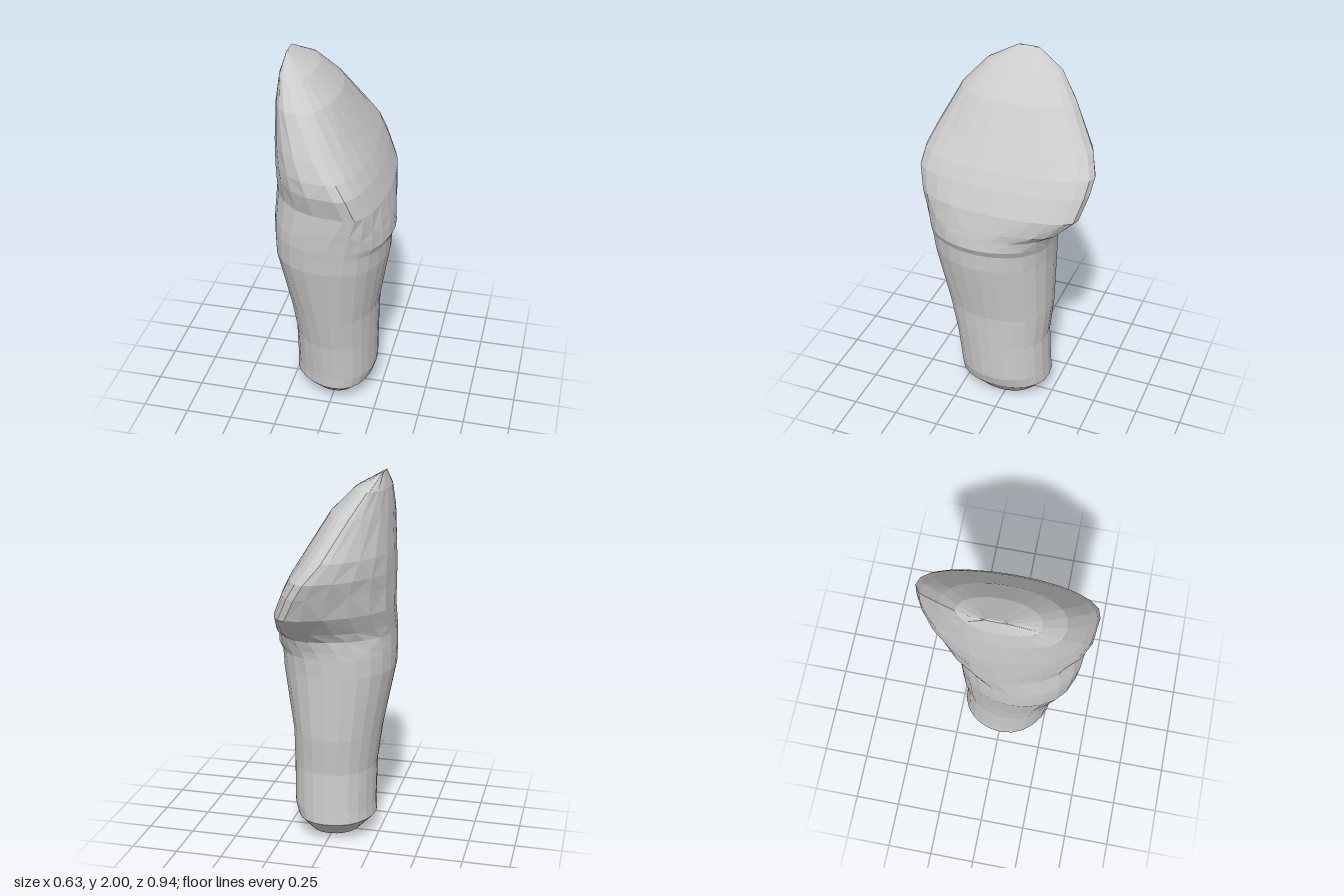
import * as THREE from 'three';

// Cross-sections: [y, left x, right x, front z, back z, x of front edge, x of back edge]
const SECTIONS = [
  [0.00, -0.08, 0.08, 0.07, -0.07, 0, 0],
  [0.03, -0.15, 0.13, 0.18, -0.15, 0, 0],
  [0.115, -0.23, 0.20, 0.27, -0.23, 0.02, 0],
  [0.18, -0.225, 0.22, 0.275, -0.225, 0.02, 0],
  [0.40, -0.225, 0.225, 0.30, -0.215, 0.02, 0],
  [0.60, -0.25, 0.23, 0.34, -0.235, 0.02, 0],
  [0.95, -0.313, 0.29, 0.41, -0.24, 0.02, 0],
  [1.05, -0.315, 0.295, 0.42, -0.245, 0.03, 0.02],
  [1.09, -0.315, 0.315, 0.425, -0.25, 0.03, 0.04],
  [1.15, -0.315, 0.308, 0.43, -0.265, 0.05, 0.08],
  [1.20, -0.315, 0.30, 0.435, -0.32, 0.07, 0.16],
  [1.30, -0.315, 0.28, 0.44, -0.42, 0.12, 0.16],
  [1.42, -0.315, 0.23, 0.47, -0.455, 0.08, 0.10],
  [1.50, -0.315, 0.19, 0.46, -0.465, 0.03, 0.05],
  [1.60, -0.313, 0.13, 0.42, -0.425, -0.04, -0.03],
  [1.80, -0.30, 0.01, 0.325, -0.295, -0.15, -0.14],
  [1.92, -0.285, -0.11, 0.215, -0.195, -0.215, -0.21],
  [2.00, -0.26, -0.25, 0.06, -0.05, -0.258, -0.258],
];
const SEGMENTS = 24;
const { lerp, smoothstep } = THREE.MathUtils;

// Low powers give a full, boxy quarter; high powers a lens that meets the rim sharply
function fullness(y, s, c) {
  if (s > 0) return 0.85;
  return c > 0
    ? lerp(1.15, 0.75, smoothstep(y, 0.2, 1))
    : lerp(0.9, 1.5, smoothstep(y, 1.05, 1.4));
}

// Two bowed halves that meet in an edge at the front and the back
function ringPoint([y, left, right, front, back, frontX, backX], j) {
  const a = (j / SEGMENTS) * Math.PI * 2;
  const s = Math.sin(a), c = Math.cos(a);
  const edge = lerp(backX, frontX, (1 + c) / 2);
  const bow = Math.abs(s) ** fullness(y, s, c);
  const x = lerp(edge, s > 0 ? right : left, bow);
  return [x, y, (front + back) / 2 + c * (front - back) / 2];
}

function loft(sections) {
  const positions = [], index = [];
  for (const section of sections)
    for (let j = 0; j < SEGMENTS; j++) positions.push(...ringPoint(section, j));

  // Alternate the diagonals for a faceted surface
  for (let i = 0; i < sections.length - 1; i++)
    for (let j = 0; j < SEGMENTS; j++) {
      const a = i * SEGMENTS + j, b = i * SEGMENTS + (j + 1) % SEGMENTS;
      const c = a + SEGMENTS, d = b + SEGMENTS;
      if ((i + j) % 2) index.push(a, b, d, a, d, c);
      else index.push(a, b, c, b, d, c);
    }

  // Close both ends
  const top = (sections.length - 1) * SEGMENTS;
  for (let j = 1; j < SEGMENTS - 1; j++) {
    index.push(0, j + 1, j);
    index.push(top, top + j, top + j + 1);
  }
  const geometry = new THREE.BufferGeometry();
  geometry.setAttribute('position', new THREE.Float32BufferAttribute(positions, 3));
  geometry.setIndex(index);
  geometry.computeVertexNormals();
  return geometry;
}

export function createModel() {
  const group = new THREE.Group();
  group.name = 'upperArm';
  const material = new THREE.MeshStandardMaterial({ color: 0xcccccc, flatShading: true });

  // Arm with a slanted, domed shoulder cap
  const arm = new THREE.Mesh(loft(SECTIONS), material);
  arm.name = 'armAndShoulder';
  group.add(arm);
  return group;
}
